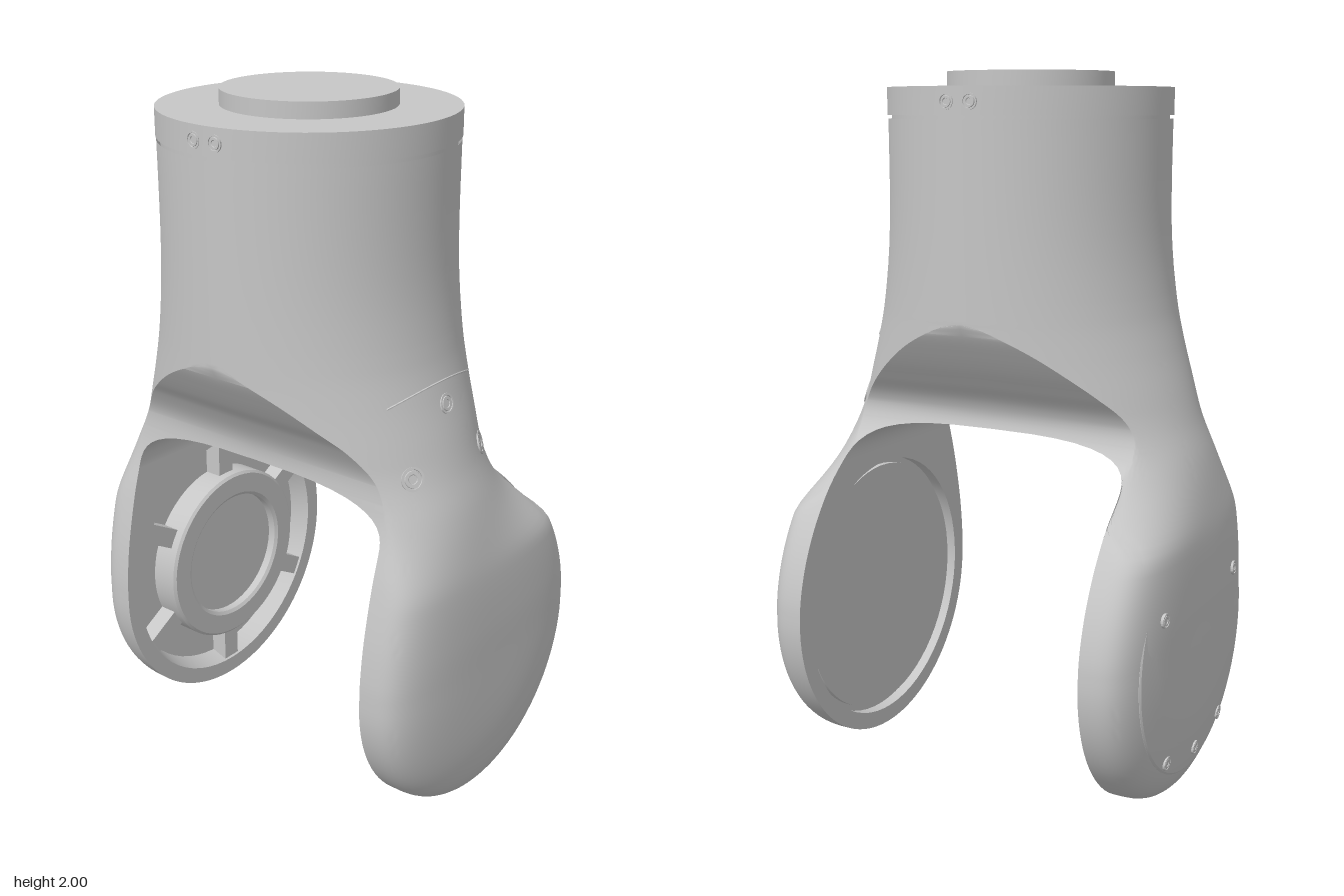
import * as THREE from 'three';
import { toCreasedNormals } from 'three/addons/utils/BufferGeometryUtils.js';

const CX = -0.083, PX = 0.03, PY = 0.45; // column axis, pad centre
const TOP = 1.872, SLOT = 0.88, ARCH = 1.02, ZIN = 0.44, HOLE = 0.4;

// Smooth interpolation through [y, value] keys
function curve(keys) {
  const slope = i => {
    const a = keys[Math.max(i - 1, 0)], b = keys[Math.min(i + 1, keys.length - 1)];
    return (b[1] - a[1]) / (b[0] - a[0]);
  };
  return y => {
    if (y <= keys[0][0]) return keys[0][1];
    for (let i = 0; i < keys.length - 1; i++) {
      const [y0, v0] = keys[i], [y1, v1] = keys[i + 1];
      if (y > y1) continue;
      const h = y1 - y0, t = (y - y0) / h, t2 = t * t, t3 = t2 * t;
      return v0 * (2 * t3 - 3 * t2 + 1) + v1 * (3 * t2 - 2 * t3)
        + h * (slope(i) * (t3 - 2 * t2 + t) + slope(i + 1) * (t3 - t2));
    }
    return keys[keys.length - 1][1];
  };
}

// Side outlines above the round pad, and outer depth of the arms
const leftKeys = curve([[0.45, -0.42], [0.53, -0.418], [0.65, -0.403], [0.8, -0.37], [0.93, -0.332], [1.02, -0.318],
  [1.08, -0.325], [1.15, -0.362], [1.2, -0.4], [1.25, -0.435], [1.3, -0.467], [1.335, -0.483]]);
const rightKeys = curve([[0.45, 0.48], [0.52, 0.475], [0.6, 0.456], [0.68, 0.424], [0.76, 0.378], [0.84, 0.315],
  [0.92, 0.225], [0.98, 0.165], [1.04, 0.14], [1.09, 0.152], [1.15, 0.196], [1.2, 0.234], [1.25, 0.269], [1.3, 0.301],
  [1.335, 0.317]]);
const depth = curve([[0.45, 0.6], [0.6, 0.6], [0.75, 0.592], [0.85, 0.575], [0.95, 0.55], [1.05, 0.515],
  [1.15, 0.485], [1.25, 0.455], [1.35, 0.43], [1.5, 0.408], [1.65, 0.4], [1.9, 0.4]]);
const round = y => Math.sqrt(Math.max(0, PY * PY - (PY - y) ** 2));
const left = y => y < PY ? PX - round(y) : leftKeys(y);
const right = y => y < PY ? PX + round(y) : rightKeys(y);

// Inner face of an arm, arching to the middle of the column
function inner(y) {
  if (y >= ARCH) return 0;
  const t = Math.max(0, (y - SLOT) / (ARCH - SLOT));
  return ZIN * Math.cbrt(1 - t ** 3);
}

// Outer surface: round column blending down into a pillowed round pad
function outer(x, y) {
  const l = left(y), r = right(y), Z = depth(y);
  const u = y < PY ? Math.hypot(x - PX, y - PY) / PY : Math.abs(x - (l + r) / 2) / ((r - l) / 2);
  const column = Z * Math.sqrt(Math.max(0, 1 - ((x - CX) / 0.4) ** 2));
  const base = ZIN + 0.01;
  const pad = base + (Z - base) * Math.max(0, 1 - u ** 3.4) ** (1 / 3.4);
  const z = THREE.MathUtils.lerp(pad, column, THREE.MathUtils.smoothstep(y, 0.75, 1.1));
  return Math.max(z, inner(y));
}

// Triangles between rows of points
function loft(rows, out, flip) {
  for (let i = 0; i < rows.length - 1; i++) {
    for (let j = 0; j < rows[i].length - 1; j++) {
      const a = rows[i][j], b = rows[i][j + 1], c = rows[i + 1][j], d = rows[i + 1][j + 1];
      for (const p of flip ? [a, b, c, b, d, c] : [a, c, b, b, c, d]) out.push(...p);
    }
  }
}

export function createModel() {
  const model = new THREE.Group();
  const grey = new THREE.MeshStandardMaterial({ color: 0xc6c6c6, side: THREE.DoubleSide });
  grey.name = 'matte grey';

  const add = (geometry, name, crease = 0.5) => {
    const mesh = new THREE.Mesh(toCreasedNormals(geometry, crease), grey);
    mesh.name = name;
    model.add(mesh);
    return mesh;
  };
  // Mirrors a geometry front to back, keeping faces outward
  const mirrorZ = geometry => {
    const g = geometry.toNonIndexed(), p = g.attributes.position;
    for (let i = 0; i < p.count; i += 3) {
      const v = [0, 2, 1].map(k => [p.getX(i + k), p.getY(i + k), -p.getZ(i + k)]);
      v.forEach((q, k) => p.setXYZ(i + k, ...q));
    }
    return g;
  };
  // Turned part about the pad axis; points are [radius, z]
  const turned = points => new THREE.LatheGeometry(points.map(p => new THREE.Vector2(...p)), 64)
    .rotateX(Math.PI / 2).translate(PX, PY, 0);

  // Column and both fork arms in one skin
  const ys = [];
  for (let k = 0; k < 24; k++) ys.push(PY * (1 - Math.cos(k / 24 * Math.PI / 2)));
  for (let k = 0; k < 20; k++) ys.push(PY + (SLOT - PY) * k / 20);
  for (let k = 0; k < 12; k++) ys.push(SLOT + (ARCH - SLOT) * Math.sin(k / 12 * Math.PI / 2));
  for (let k = 0; k < 36; k++) ys.push(ARCH + (1.4 - ARCH) * k / 36);
  for (let k = 0; k <= 8; k++) ys.push(1.4 + (TOP - 1.4) * k / 8);
  ys.reverse();
  const N = 56, skin = [];
  for (const s of [1, -1]) {
    const outside = ys.map(y => {
      const l = left(y), r = right(y), row = [[l, y, s * inner(y)]];
      for (let j = 0; j <= N; j++) {
        const x = (l + r) / 2 - (r - l) / 2 * Math.cos(j / N * Math.PI);
        row.push([x, y, s * outer(x, y)]);
      }
      row.push([r, y, s * inner(y)]);
      return row;
    });
    loft(outside, skin, s < 0);
    const archYs = ys.filter(y => y >= SLOT - 1e-6 && y <= ARCH + 1e-6);
    loft(archYs.map(y => [[left(y), y, s * inner(y)], [right(y), y, s * inner(y)]]), skin, s > 0);
  }
  const body = new THREE.BufferGeometry();
  body.setAttribute('position', new THREE.Float32BufferAttribute(skin, 3));
  add(body, 'forkBody');

  // Inner faces of the pads, each with a round opening
  const low = ys.filter(y => y <= SLOT + 1e-6);
  const shape = new THREE.Shape([
    ...low.map(y => new THREE.Vector2(left(y), y)),
    ...low.slice(0, -1).reverse().map(y => new THREE.Vector2(right(y), y))]);
  shape.holes.push(new THREE.Path().absarc(PX, PY, HOLE, 0, Math.PI * 2, true));
  add(new THREE.ShapeGeometry(shape, 32).rotateY(0).translate(0, 0, ZIN), 'frontInnerFace');
  add(new THREE.ShapeGeometry(shape, 32).translate(0, 0, -ZIN), 'backInnerFace');

  // Recesses: plain disc in front, hub with ribs at the back
  add(turned([[HOLE, ZIN], [HOLE, 0.475], [0.382, 0.475], [0.382, 0.458], [0, 0.458]]), 'frontRecess');
  add(mirrorZ(turned([[HOLE, ZIN], [0.38, 0.5], [0.28, 0.5], [0.28, 0.42], [0.272, 0.413], [0.21, 0.413],
    [0.2, 0.42], [0.2, 0.445], [0, 0.445]])), 'bearingHub');
  for (let k = 0; k < 6; k++) {
    const rib = new THREE.BoxGeometry(0.13, 0.06, 0.055).translate(0.33, 0, -0.4725)
      .rotateZ((k + 0.5) * Math.PI / 3).translate(PX, PY, 0);
    add(rib, 'hubRib');
  }

  // Round cover on the back pad
  add(mirrorZ(turned([[0.365, 0.54], [0.365, 0.574], [0.36, 0.578], [0.3, 0.589], [0.2, 0.597], [0, 0.602]])),
    'backCover', 0.3);

  // Collar with a shadow gap, and top boss
  const disc = (r, y0, y1, name) =>
    add(new THREE.CylinderGeometry(r, r, y1 - y0, 96).translate(CX, (y0 + y1) / 2, 0), name);
  disc(0.39, 1.86, 1.89, 'collarGap');
  disc(0.402, 1.882, 1.957, 'collar');
  disc(0.235, 1.95, 2, 'topBoss');

  // Socket screws
  const screw = (position, normal, r) => {
    const profile = [[r, -0.01], [r, 0.003], [r * 0.8, 0.003], [r * 0.75, -0.004], [r * 0.68, 0.003], [r * 0.4, 0.003],
      [r * 0.35, 0.001], [0, 0.001]].map(p => new THREE.Vector2(...p));
    const mesh = add(new THREE.LatheGeometry(profile, 20), 'screw');
    mesh.position.copy(position);
    mesh.quaternion.setFromUnitVectors(new THREE.Vector3(0, 1, 0), normal.normalize());
  };
  const V = (x, y, z) => new THREE.Vector3(x, y, z), e = 0.01;
  for (const [x, y, r] of [[CX, 1.23, 0.028], [-0.24, 1.07, 0.033], [0.072, 1.07, 0.033]]) {
    const n = V((outer(x - e, y) - outer(x + e, y)) / (2 * e), (outer(x, y - e) - outer(x, y + e)) / (2 * e), 1);
    screw(V(x, y, outer(x, y)), n, r);
  }
  for (const s of [1, -1]) for (const z of [0.035, -0.035])
    screw(V(CX + s * 0.4, 1.918, z), V(s, 0, z), 0.022);
  for (const [dx, dy] of [[0.25, 0.15], [-0.25, 0.15], [0, -0.31], [0.19, -0.28], [-0.19, -0.28]]) {
    const x = PX + dx, y = PY + dy;
    screw(V(x, y, -outer(x, y) - 0.004), V(dx * 0.3, dy * 0.3, -1), 0.02);
  }

  // Curved seam above the front arm
  const seam = [];
  for (let k = 0; k <= 12; k++) {
    const t = k / 6 - 1, x = CX + 0.185 * t, y = 1.29 - 0.035 * t * t;
    seam.push(V(x, y, outer(x, y)));
  }
  add(new THREE.TubeGeometry(new THREE.CatmullRomCurve3(seam), 36, 0.003, 6), 'frontSeam');

  return model;
}
